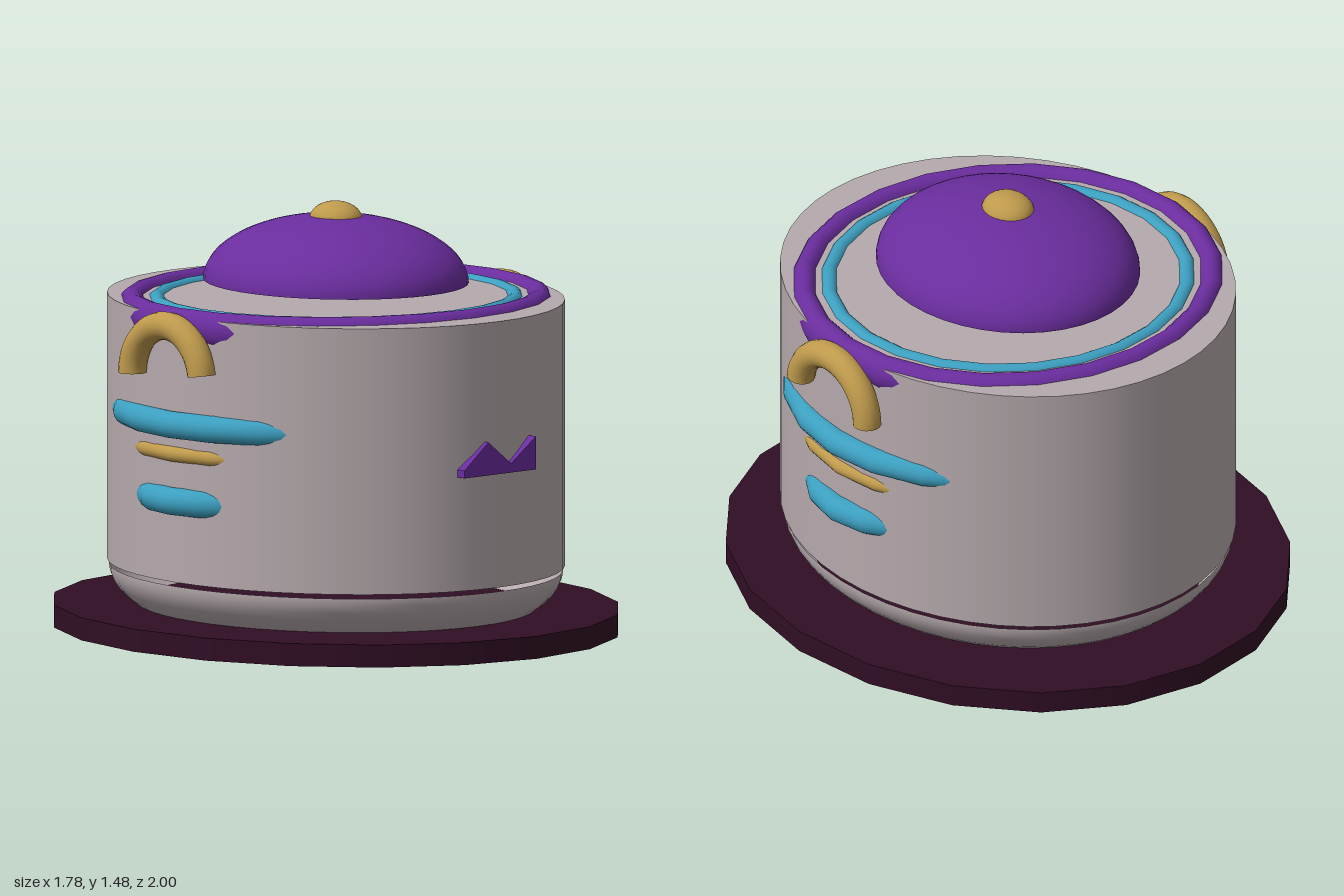
import * as THREE from 'three';

const mat = (name, color, side = THREE.FrontSide) => {
  const m = new THREE.MeshStandardMaterial({ color, side });
  m.name = name;
  return m;
};

export function createModel() {
  const group = new THREE.Group();
  const grey = mat('warm grey', 0xb5a9ac, THREE.DoubleSide);
  const purple = mat('purple', 0x6a2d9e, THREE.DoubleSide);
  const gold = mat('gold', 0xbf9a4c, THREE.DoubleSide);
  const teal = mat('teal', 0x3c9fc0);
  const dark = mat('dark plum', 0x300e24);

  const add = (name, geometry, material, x = 0, y = 0, z = 0) => {
    const mesh = new THREE.Mesh(geometry, material);
    mesh.name = name;
    mesh.position.set(x, y, z);
    group.add(mesh);
    return mesh;
  };

  // Oval ring lying flat: rx and rz are its centre-line radii, tube and height its half thickness
  const ring = (name, material, y, rx, rz, tube, height = tube) => {
    const g = new THREE.TorusGeometry(1, tube / rx, 16, 24);
    g.rotateX(Math.PI / 2);
    g.scale(rx, height / (tube / rx), rz);
    return add(name, g, material, 0, y, 0);
  };

  // Oval base plate
  const plate = new THREE.CylinderGeometry(1, 1, 0.075, 20);
  plate.scale(0.89, 1, 1);
  add('basePlate', plate, dark, 0, 0.1025, 0);

  // Rounded bottom bowl passing through the plate
  const bowl = new THREE.SphereGeometry(1, 48, 16, 0, Math.PI * 2, Math.PI / 2, Math.PI / 2);
  bowl.scale(0.709, 0.265, 0.795);
  add('bottomBowl', bowl, grey, 0, 0.265, 0);

  // Oval drum body, just clear of the bowl
  const body = new THREE.CylinderGeometry(1, 1, 0.885, 48);
  body.scale(0.715, 1, 0.802);
  add('body', body, grey, 0, 0.7225, 0);

  // Rings on the rim, and bands that emerge from the body only at the sides
  ring('rimRing', purple, 1.13, 0.688, 0.655, 0.046, 0.06);
  ring('innerRimRing', teal, 1.15, 0.602, 0.58, 0.029);
  ring('upperBand', teal, 0.805, 0.725, 0.665, 0.045);
  ring('middleBand', gold, 0.706, 0.712, 0.62, 0.026);
  ring('lowerBand', teal, 0.55, 0.722, 0.47, 0.046);

  // Domed lid and knob
  const lid = new THREE.SphereGeometry(1, 40, 16, 0, Math.PI * 2, 0, Math.PI / 2);
  lid.scale(0.415, 0.22, 0.465);
  add('lid', lid, purple, 0, 1.215, 0);
  const knob = new THREE.SphereGeometry(1, 24, 16);
  knob.scale(0.083, 0.06, 0.094);
  add('knob', knob, gold, 0, 1.42, 0);

  // Arched side handles with open ends; the front end stops slightly short
  for (const side of [-1, 1]) {
    const handle = new THREE.TorusGeometry(0.173, 0.047, 16, 24, 3.0);
    handle.rotateY(Math.PI / 2);
    add(side > 0 ? 'leftHandle' : 'rightHandle', handle, gold, side * 0.742, 0.962, 0);
  }

  // Zigzag mouth on the front
  const mouth = new THREE.Shape([
    [-0.157, 0.66], [0.157, 0.66], [0.157, 0.77],
    [0.048, 0.69], [-0.052, 0.77], [-0.157, 0.685],
  ].map(([x, y]) => new THREE.Vector2(x, y)));
  add('mouth', new THREE.ExtrudeGeometry(mouth, { depth: 0.035, bevelEnabled: false }), purple, 0, 0, 0.782);

  return group;
}
